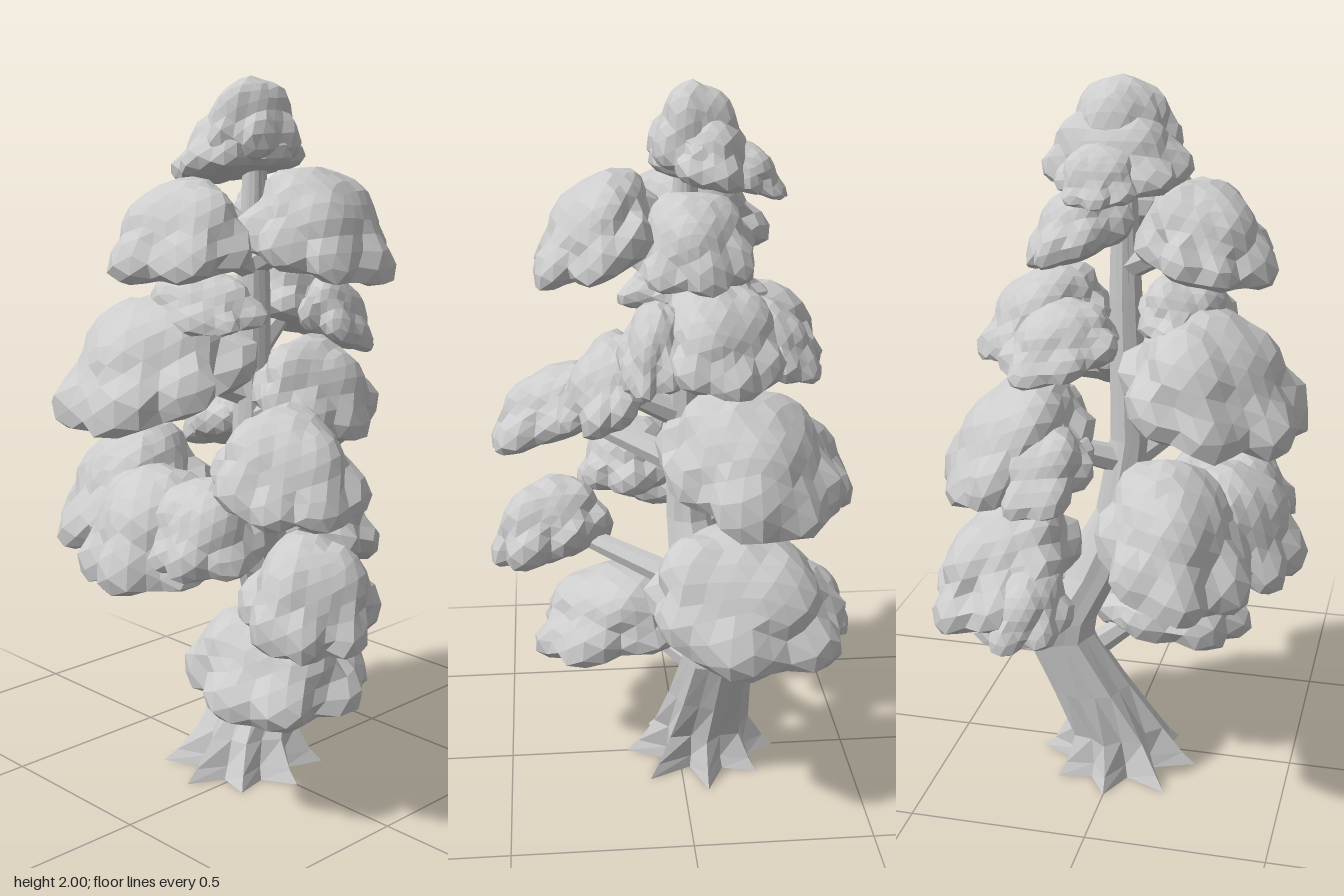
import * as THREE from 'three';

const grey = new THREE.MeshStandardMaterial({ color: 0xcccccc, flatShading: true });
grey.name = 'plain grey';

function seeded(seed) {
  let s = seed * 7919 + 17;
  return () => {
    s = (s * 16807) % 2147483647;
    return s / 2147483647;
  };
}

// trunk centre line: height, x, z, radius, root flare
const spine = [
  [0, -0.07, 0, 0.185, 0.3], [0.035, -0.07, -0.003, 0.16, 0.27], [0.11, -0.07, -0.015, 0.13, 0.14],
  [0.25, -0.085, -0.09, 0.115, 0.06], [0.41, -0.1, -0.175, 0.1, 0.05], [0.47, -0.095, -0.165, 0.098, 0.05],
  [0.6, -0.06, -0.09, 0.085, 0.05], [0.78, -0.03, -0.015, 0.062, 0.05], [1.0, -0.02, 0.015, 0.052, 0.04],
  [1.4, -0.02, 0.005, 0.045, 0.04], [1.82, -0.02, 0, 0.03, 0],
];

function spineAt(y) {
  let i = 1;
  while (i < spine.length - 1 && spine[i][0] < y) i++;
  const a = spine[i - 1], b = spine[i], t = (y - a[0]) / (b[0] - a[0]);
  return new THREE.Vector3(a[1] + (b[1] - a[1]) * t, y, a[2] + (b[2] - a[2]) * t);
}

// curved trunk with rings that spread into roots at the ground
function makeTrunk() {
  const n = 16, pos = [], idx = [];
  for (const [y, x, z, r, flare] of spine) {
    for (let j = 0; j < n; j++) {
      const a = (j / n) * Math.PI * 2;
      const k = r * (1 + flare * (j % 2 ? -1 : 0.7) + flare * 0.25 * Math.sin(j * 2.3));
      pos.push(x + k * Math.cos(a), y, z + k * Math.sin(a));
    }
  }
  for (let i = 0; i < spine.length - 1; i++) {
    for (let j = 0; j < n; j++) {
      const a = i * n + j, b = i * n + (j + 1) % n, c = a + n, d = b + n;
      idx.push(a, c, b, b, c, d);
    }
  }
  const centre = pos.length / 3;
  pos.push(spine[0][1], 0, spine[0][2]);
  for (let j = 0; j < n; j++) idx.push(centre, j, (j + 1) % n);
  const g = new THREE.BufferGeometry();
  g.setAttribute('position', new THREE.Float32BufferAttribute(pos, 3));
  g.setIndex(idx);
  g.computeVertexNormals();
  return g;
}

// distance along unit direction d at which a ray from the origin leaves a sphere
function exitDistance(d, c, r) {
  const b = d.dot(c), h = b * b - c.lengthSq() + r * r;
  return h < 0 ? 0 : b + Math.sqrt(h);
}

// lumpy drooping cushion of leaves, fitted to the box x0,x1,y0,y1,z0,z1
function makePad(box, out, droop, seed) {
  const rnd = seeded(seed);
  const lumps = [[new THREE.Vector3(0, 0.1, 0), 0.74]];
  const count = 7, turn = rnd() * 6.28;
  for (let i = 0; i < count; i++) {
    const a = turn + ((i + rnd() * 0.4) / count) * Math.PI * 2, r = 0.6 + rnd() * 0.08;
    lumps.push([new THREE.Vector3(Math.cos(a) * r, -0.16 + rnd() * 0.16, Math.sin(a) * r), 0.34 + rnd() * 0.08]);
  }
  for (let i = 0; i < 3; i++) {
    const a = turn + i * 2.1;
    lumps.push([new THREE.Vector3(Math.cos(a) * 0.35, 0.3, Math.sin(a) * 0.35), 0.42 + rnd() * 0.08]);
  }
  const g = new THREE.IcosahedronGeometry(1, 4);
  const p = g.attributes.position, v = new THREE.Vector3();
  for (let i = 0; i < p.count; i++) {
    v.fromBufferAttribute(p, i).normalize();
    let r = 0;
    for (const [c, s] of lumps) r = Math.max(r, exitDistance(v, c, s));
    r *= 1 + 0.025 * Math.sin(v.x * 13 + seed) * Math.sin(v.y * 11 + v.z * 14);
    v.multiplyScalar(r);
    if (v.y < -0.2) v.y = -0.2 + (v.y + 0.2) * 0.45;
    v.y -= droop * (v.x * out.x + v.z * out.y);
    p.setXYZ(i, v.x, v.y, v.z);
  }
  g.computeBoundingBox();
  const { min, max } = g.boundingBox;
  const fit = (t, lo, hi, a, b) => a + ((t - lo) / (hi - lo)) * (b - a);
  for (let i = 0; i < p.count; i++) {
    p.setXYZ(i,
      fit(p.getX(i), min.x, max.x, box[0], box[1]),
      fit(p.getY(i), min.y, max.y, box[2], box[3]),
      fit(p.getZ(i), min.z, max.z, box[4], box[5]));
  }
  g.computeVertexNormals();
  return g;
}

// tapered branch between two points
function makeBranch(a, b) {
  const dir = b.clone().sub(a);
  const g = new THREE.CylinderGeometry(0.024, 0.042, dir.length(), 7);
  g.applyQuaternion(new THREE.Quaternion().setFromUnitVectors(new THREE.Vector3(0, 1, 0), dir.normalize()));
  g.translate((a.x + b.x) / 2, (a.y + b.y) / 2, (a.z + b.z) / 2);
  return g;
}

// leaf cushions carried by a branch: name, bounding box, droop
const pads = [
  ['upperFront', [-0.28, 0.18, 1.47, 1.74, 0.05, 0.43], 0.18],
  ['upperLeft', [0.03, 0.39, 1.47, 1.77, -0.26, 0.21], 0.35],
  ['upperBack', [-0.26, 0.1, 1.24, 1.5, -0.39, -0.02], 0.35],
  ['middleFront', [-0.46, 0.14, 1.07, 1.43, 0.02, 0.52], 0.28],
  ['middleLeft', [0.06, 0.34, 1.05, 1.32, -0.23, 0.18], 0.3],
  ['lowerLeft', [0.14, 0.53, 0.9, 1.18, 0.03, 0.43], 0.35],
  ['middleBack', [-0.43, 0.08, 0.87, 1.22, -0.48, -0.05], 0.35],
  ['lowerRight', [-0.55, -0.08, 0.68, 1.04, 0, 0.42], 0.3],
  ['lowerFront', [-0.33, 0.16, 0.65, 0.97, 0.13, 0.53], 0.2],
  ['bottomLeft', [0.18, 0.545, 0.55, 0.84, 0, 0.37], 0.25],
  ['bottomBack', [-0.44, 0.12, 0.5, 0.85, -0.535, -0.1], 0.35],
  ['bottomFront', [-0.08, 0.42, 0.3, 0.58, -0.13, 0.35], 0.18],
];

// smaller clumps that widen the cushions
const clumps = [
  ['upperRear', [-0.2, 0.14, 1.48, 1.72, -0.26, 0.04], 0.3],
  ['upperBackLeft', [-0.01, 0.18, 1.23, 1.46, -0.34, -0.08], 0.3],
  ['upperBackRight', [-0.37, -0.08, 1.23, 1.44, -0.29, 0.04], 0.3],
  ['middleFrontTop', [-0.28, 0.16, 1.33, 1.5, 0.05, 0.31], 0.1],
  ['middleBackRight', [-0.44, -0.15, 0.89, 1.12, -0.32, -0.02], 0.3],
  ['lowerFrontLeft', [-0.06, 0.28, 0.73, 0.97, 0.12, 0.47], 0.15],
  ['bottomBackRight', [-0.46, -0.18, 0.5, 0.72, -0.34, -0.07], 0.3],
];

export function createModel() {
  const tree = new THREE.Group();
  tree.name = 'tree';
  const add = (geometry, name) => {
    const m = new THREE.Mesh(geometry, grey);
    m.name = name;
    tree.add(m);
  };
  add(makeTrunk(), 'trunk');

  // domed crown that leans to one side
  const lean = new THREE.Vector2(-1, 0);
  add(makePad([-0.18, 0.08, 1.74, 2, -0.17, 0.16], lean, 0.15, 3), 'crownTop');
  add(makePad([-0.23, 0.08, 1.71, 1.93, -0.2, 0.2], lean, 0.2, 6), 'crownBase');
  add(makePad([-0.29, -0.06, 1.69, 1.85, -0.15, 0.09], lean, 0.35, 5), 'crownLobe');

  [...pads, ...clumps].forEach(([name, b, droop], i) => {
    const c = new THREE.Vector3((b[0] + b[1]) / 2, b[2] + (b[3] - b[2]) * 0.48, (b[4] + b[5]) / 2);
    const start = spineAt(c.y - 0.11);
    const out = new THREE.Vector2(c.x - start.x, c.z - start.z).normalize();
    add(makePad(b, out, droop, i + 11), name + 'Foliage');
    if (i < pads.length) add(makeBranch(start, c), name + 'Branch');
  });
  return tree;
}
